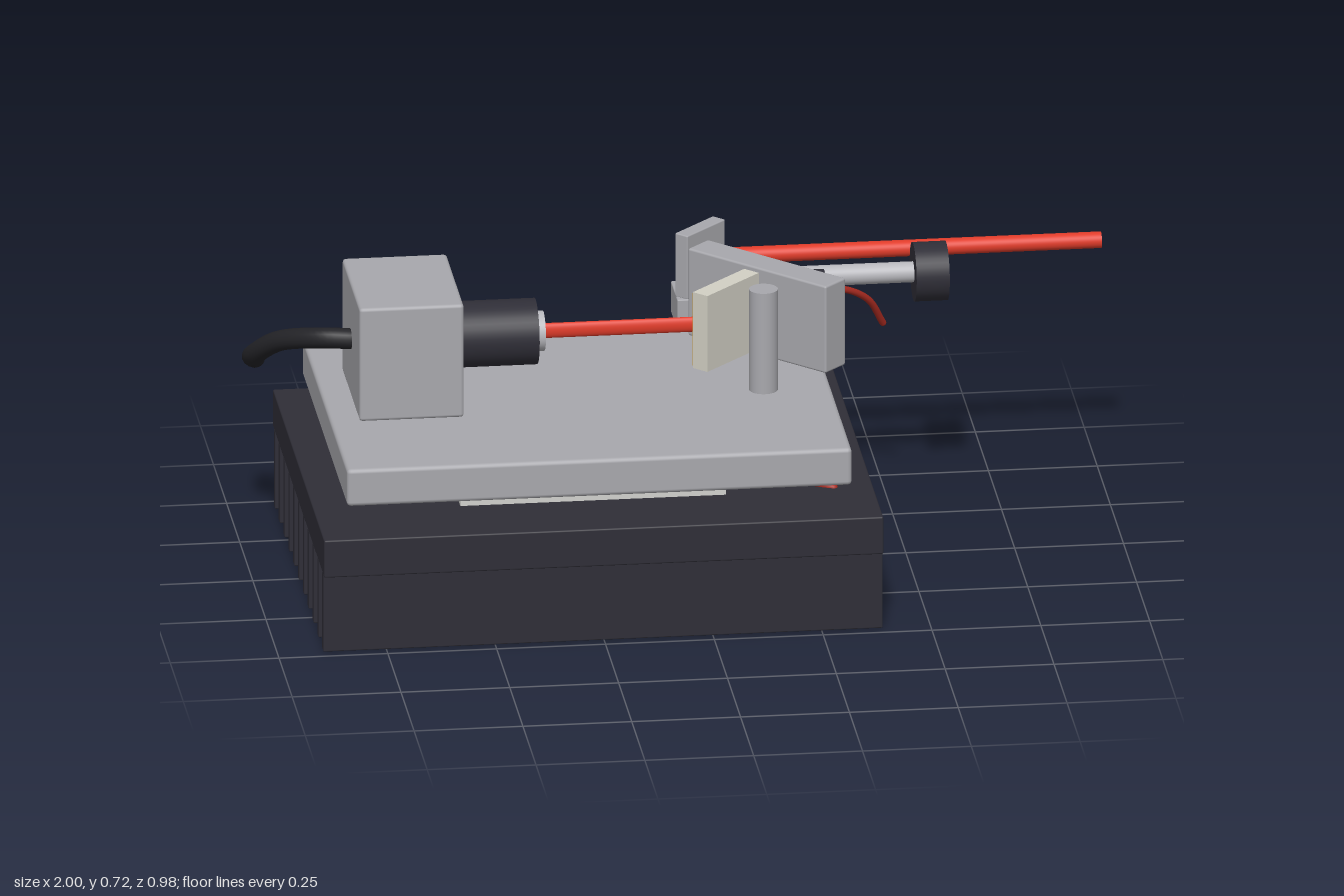
import * as THREE from 'three';
import { RoundedBoxGeometry } from 'three/addons/geometries/RoundedBoxGeometry.js';

const mat = (name, color) => {
  const m = new THREE.MeshStandardMaterial({ color });
  m.name = name;
  return m;
};

export function createModel() {
  const root = new THREE.Group();
  root.name = 'diodeLaserAssembly';

  const darkMetal = mat('dark anodised metal', 0x2f2e37);
  const greyMetal = mat('grey metal', 0xa8a8ad);
  const silver = mat('silver', 0xb8b8bd);
  const ceramic = mat('ceramic', 0xd2d2ce);
  const glass = mat('pale glass', 0xd2d0c4);
  const gold = mat('gold', 0xc8a24a);
  const groove = mat('gold groove', 0x8f7330);
  const beamRed = mat('beam red', 0xe03c2a);
  const wireRed = mat('wire red', 0xa52a20);
  const rubber = mat('black rubber', 0x232327);

  const add = (name, geometry, material, parent = root) => {
    const mesh = new THREE.Mesh(geometry, material);
    mesh.name = name;
    parent.add(mesh);
    return mesh;
  };
  // Box given by centre and size, with slightly softened edges
  const box = (name, [x, y, z], [w, h, d], material, bevel = 0.006, parent = root) => {
    const g = bevel ? new RoundedBoxGeometry(w, h, d, 2, bevel) : new THREE.BoxGeometry(w, h, d);
    const mesh = add(name, g, material, parent);
    mesh.position.set(x, y, z);
    return mesh;
  };
  // Cylinder along x from x0 to x1
  const rod = (name, x0, x1, y, z, r, material) => {
    const mesh = add(name, new THREE.CylinderGeometry(r, r, x1 - x0, 40), material);
    mesh.rotation.z = -Math.PI / 2;
    mesh.position.set((x0 + x1) / 2, y, z);
    return mesh;
  };
  // Bent wire with capped ends
  const wire = (name, points, r, material) => {
    const pts = points.map(p => new THREE.Vector3(...p));
    add(name, new THREE.TubeGeometry(new THREE.CatmullRomCurve3(pts), 32, r, 14), material);
    [pts[0], pts[pts.length - 1]].forEach(p =>
      add(name + 'End', new THREE.SphereGeometry(r, 14, 10), material).position.copy(p));
  };

  const AXIS = 0.58;

  // Heat sink: slab with eleven fins beneath
  box('heatSinkBase', [-0.2525, 0.232, 0], [1.285, 0.091, 0.98], darkMetal, 0.004);
  for (let i = 0; i < 11; i++) {
    box('heatSinkFin', [-0.2525, 0.095, (i - 5) * 0.0922], [1.285, 0.19, 0.024], darkMetal, 0.003);
  }

  // Thermoelectric cooler and its leads
  box('cooler', [-0.255, 0.306, 0], [0.61, 0.06, 0.61], ceramic, 0);
  wire('coolerRedLead', [[0.03, 0.305, 0.185], [0.12, 0.302, 0.205], [0.22, 0.291, 0.25], [0.3, 0.275, 0.285]], 0.01, wireRed);
  wire('coolerBlackLead', [[0.03, 0.305, 0.125], [0.12, 0.302, 0.14], [0.22, 0.291, 0.17], [0.3, 0.275, 0.195]], 0.01, rubber);

  // Base plate
  box('basePlate', [-0.255, 0.379, 0.002], [1.16, 0.09, 0.855], greyMetal, 0.01);

  // Laser mount, collimator and cable
  box('laserMount', [-0.655, 0.578, 0.002], [0.24, 0.275, 0.332], greyMetal, 0.008);
  rod('collimator', -0.54, -0.35, AXIS, 0, 0.076, darkMetal);
  rod('lensRing', -0.35, -0.332, AXIS, 0, 0.046, silver);
  wire('cable', [[-0.77, 0.58, 0], [-0.84, 0.578, -0.02], [-0.925, 0.545, -0.1],
    [-0.974, 0.475, -0.2], [-0.96, 0.432, -0.295]], 0.024, rubber);

  // Diffraction grating, ruled on the face turned towards the laser
  const grating = new THREE.Group();
  grating.name = 'grating';
  grating.position.set(0.0875, 0, -0.0075);
  grating.rotation.y = Math.PI / 4;
  root.add(grating);
  box('gratingBlock', [0, 0.583, 0], [0.19, 0.185, 0.042], glass, 0, grating);
  box('gratingFace', [0, 0.583, -0.023], [0.182, 0.177, 0.004], gold, 0, grating);
  for (let i = -4; i <= 4; i++) {
    box('gratingGroove', [i * 0.019, 0.583, -0.0255], [0.004, 0.17, 0.002], groove, 0, grating);
  }

  // Swinging arm and pivot post
  box('gratingArm', [0.192, 0.579, -0.095], [0.4, 0.212, 0.074], greyMetal, 0.005).rotation.y = -Math.PI / 4;
  add('pivotPost', new THREE.CylinderGeometry(0.033, 0.033, 0.245, 40), greyMetal).position.set(0.16, 0.578, 0.108);

  // Piezo with lead, and adjustment screw with knob
  rod('piezo', 0.2, 0.335, AXIS, -0.183, 0.048, darkMetal);
  wire('piezoLead', [[0.33, 0.58, -0.183], [0.38, 0.575, -0.195], [0.44, 0.535, -0.23], [0.48, 0.46, -0.272]], 0.008, wireRed);
  rod('adjustmentScrew', 0.283, 0.56, AXIS, -0.274, 0.024, silver);
  rod('adjustmentKnob', 0.55, 0.626, AXIS, -0.274, 0.068, darkMetal);

  // Folding mirror on its block
  box('mirrorBase', [0.08, 0.463, -0.426], [0.122, 0.076, 0.124], greyMetal, 0.003);
  box('mirror', [0.079, 0.577, -0.428], [0.14, 0.155, 0.036], greyMetal, 0.003).rotation.y = Math.PI / 4;

  // Beam: flattened before the grating, round after it
  rod('incomingBeam', -0.335, 0.06, AXIS, 0, 0.018, beamRed).scale.z = 0.5;
  const from = new THREE.Vector3(0.066, AXIS, 0), to = new THREE.Vector3(0.08, AXIS, -0.425);
  const fold = add('foldedBeam', new THREE.CylinderGeometry(0.02, 0.02, from.distanceTo(to), 32), beamRed);
  fold.position.copy(from).lerp(to, 0.5);
  fold.quaternion.setFromUnitVectors(new THREE.Vector3(0, 1, 0), to.clone().sub(from).normalize());
  add('beamCorner', new THREE.SphereGeometry(0.019, 24, 16), beamRed).position.copy(to);
  rod('outgoingBeam', 0.08, 1, AXIS, -0.427, 0.019, beamRed);

  return root;
}
